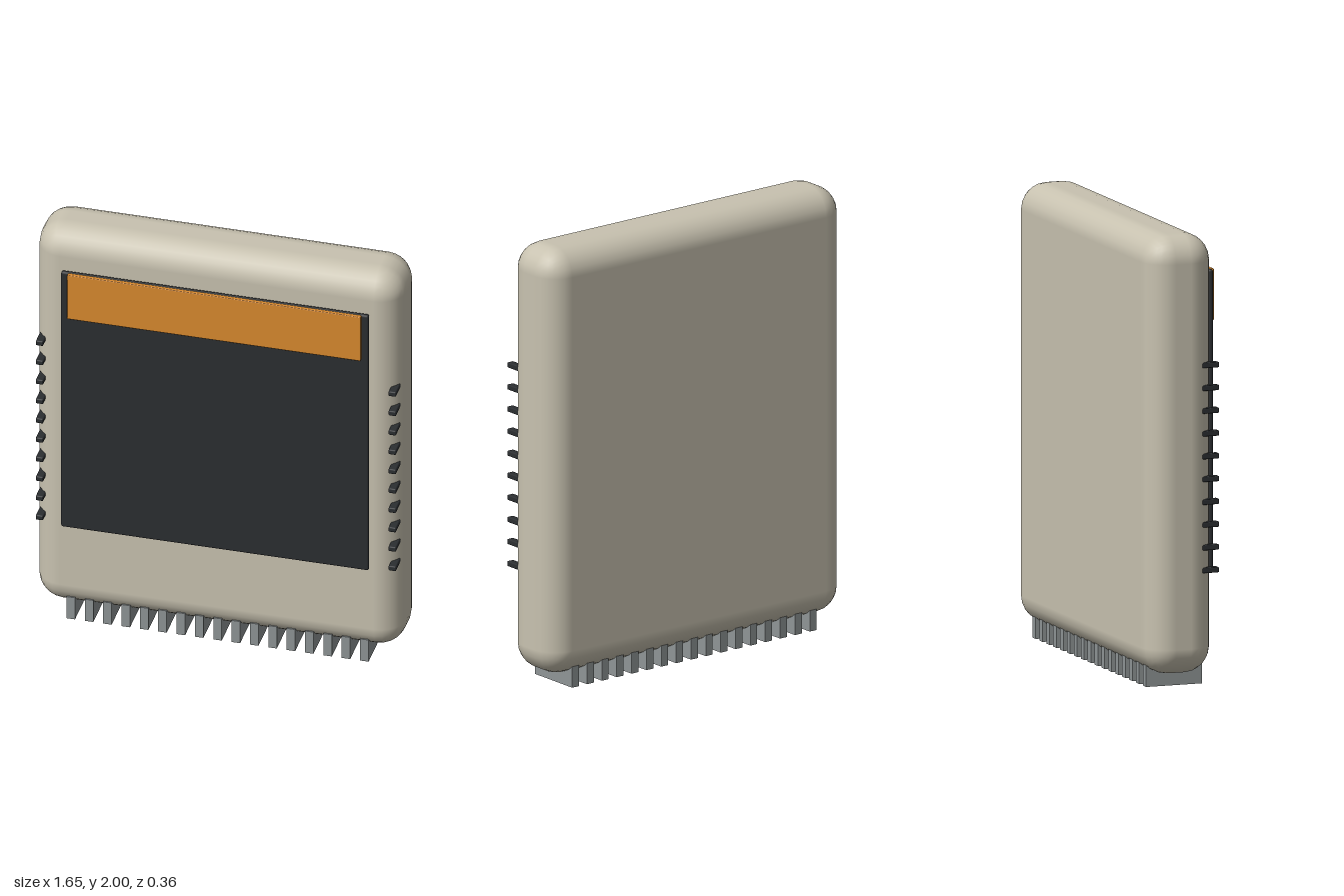
import * as THREE from 'three';
import { RoundedBoxGeometry } from 'three/addons/geometries/RoundedBoxGeometry.js';

const paint = (color) => new THREE.MeshStandardMaterial({ color });

export function createModel() {
  const model = new THREE.Group();
  const shell = paint(0xc8c2b0);
  const dark = paint(0x2b2e31);
  const orange = paint(0xd98a2e);
  const metal = paint(0x8f9596);

  // Adds a box given by its minimum and maximum corners, rounded if a radius is given
  function box(name, material, [x0, y0, z0], [x1, y1, z1], radius = 0, segments = 2, parent = model) {
    const size = [x1 - x0, y1 - y0, z1 - z0];
    const geometry = radius
      ? new RoundedBoxGeometry(...size, segments, radius)
      : new THREE.BoxGeometry(...size);
    const mesh = new THREE.Mesh(geometry, material);
    mesh.name = name;
    mesh.position.set((x0 + x1) / 2, (y0 + y1) / 2, (z0 + z1) / 2);
    parent.add(mesh);
    return mesh;
  }

  // Rounded cartridge body
  box('body', shell, [-0.825, 0.06, -0.18], [0.825, 2, 0.13], 0.12, 3);

  // Front label plate with its coloured band
  box('label', dark, [-0.692, 0.503, 0.143], [0.692, 1.825, 0.165], 0.01);
  box('labelBand', orange, [-0.66, 1.595, 0.16], [0.66, 1.823, 0.18], 0.004, 1);

  // Grip ridges down both front edges
  for (const side of [-1, 1]) {
    const grips = new THREE.Group();
    grips.name = side > 0 ? 'leftGrips' : 'rightGrips';
    model.add(grips);
    for (let i = 0; i < 10; i++) {
      const y = 0.52 + i * 0.1005;
      const x = side * 0.793;
      box('gripRidge', dark, [x - 0.017, y - 0.012, 0.065], [x + 0.017, y + 0.012, 0.146], 0.005, 1, grips);
    }
  }

  // Row of contact pins under the body
  const pins = new THREE.Group();
  pins.name = 'contactPins';
  model.add(pins);
  for (let i = -8; i <= 8; i++) {
    const x = i * 0.0825;
    box('contactPin', metal, [x - 0.019, 0, -0.145], [x + 0.019, 0.112, 0.115], 0, 1, pins);
  }

  return model;
}
